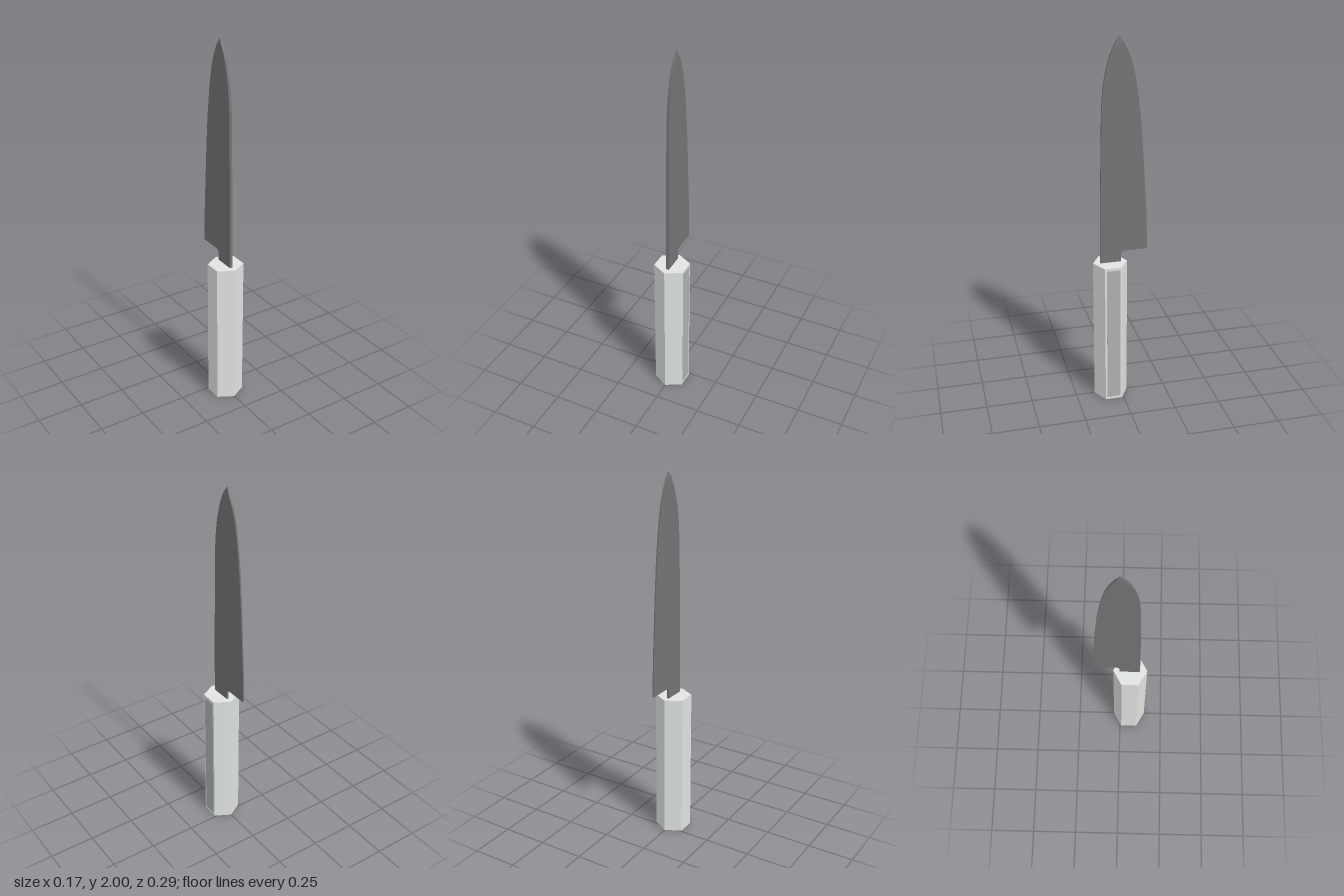
import * as THREE from 'three';

const material = (color) => new THREE.MeshStandardMaterial({ color, flatShading: true });

function add(group, name, geometry, color) {
  const mesh = new THREE.Mesh(geometry, material(color));
  mesh.name = name;
  group.add(mesh);
  return mesh;
}

// Blade outline in (u, y) where u = -z: spine on the left, cutting edge on the right
function bladeGeometry() {
  const shape = new THREE.Shape();
  const points = (list) => list.map(([u, y]) => new THREE.Vector2(u, y));
  shape.moveTo(0.004, 0.79);
  shape.lineTo(0.004, 0.835);
  shape.quadraticCurveTo(0.004, 0.86, 0.026, 0.86); // notch at the heel
  shape.lineTo(0.147, 0.86);
  shape.splineThru(points([[0.142, 1.05], [0.133, 1.2], [0.121, 1.4], [0.105, 1.6],
    [0.077, 1.8], [0.046, 1.91], [0, 2]]));
  shape.splineThru(points([[-0.027, 1.958], [-0.054, 1.895], [-0.08, 1.79], [-0.094, 1.65],
    [-0.1, 1.4], [-0.105, 1.1], [-0.108, 0.79]]));

  const geometry = new THREE.ExtrudeGeometry(shape, { depth: 2, steps: 1, bevelEnabled: false, curveSegments: 4 });
  geometry.translate(0, 0, -1);
  geometry.rotateY(Math.PI / 2);

  // Taper the thickness from spine to edge, and thin the tip
  const p = geometry.attributes.position;
  for (let i = 0; i < p.count; i++) {
    const tip = THREE.MathUtils.clamp((2 - p.getY(i)) / 0.03, 0.35, 1);
    p.setX(i, p.getX(i) * (0.0058 + 0.016 * p.getZ(i)) * tip);
  }
  geometry.computeVertexNormals();
  return geometry;
}

export function createModel() {
  const group = new THREE.Group();
  group.name = 'kitchenKnife';

  // Six-sided handle, set slightly forward under the spine
  const handle = add(group, 'handle', new THREE.CylinderGeometry(0.0925, 0.0925, 0.8, 6), 0xe0e4e0);
  handle.scale.x = 1.036;
  handle.position.set(0, 0.4, 0.0545);

  // Thin grey panel on the left flat of the handle
  const panel = add(group, 'handlePanel', new THREE.BoxGeometry(0.002, 0.77, 0.074), 0xb0b0b0);
  panel.position.set(0.083, 0.4, 0.0545);

  add(group, 'blade', bladeGeometry(), 0x747474);
  return group;
}
